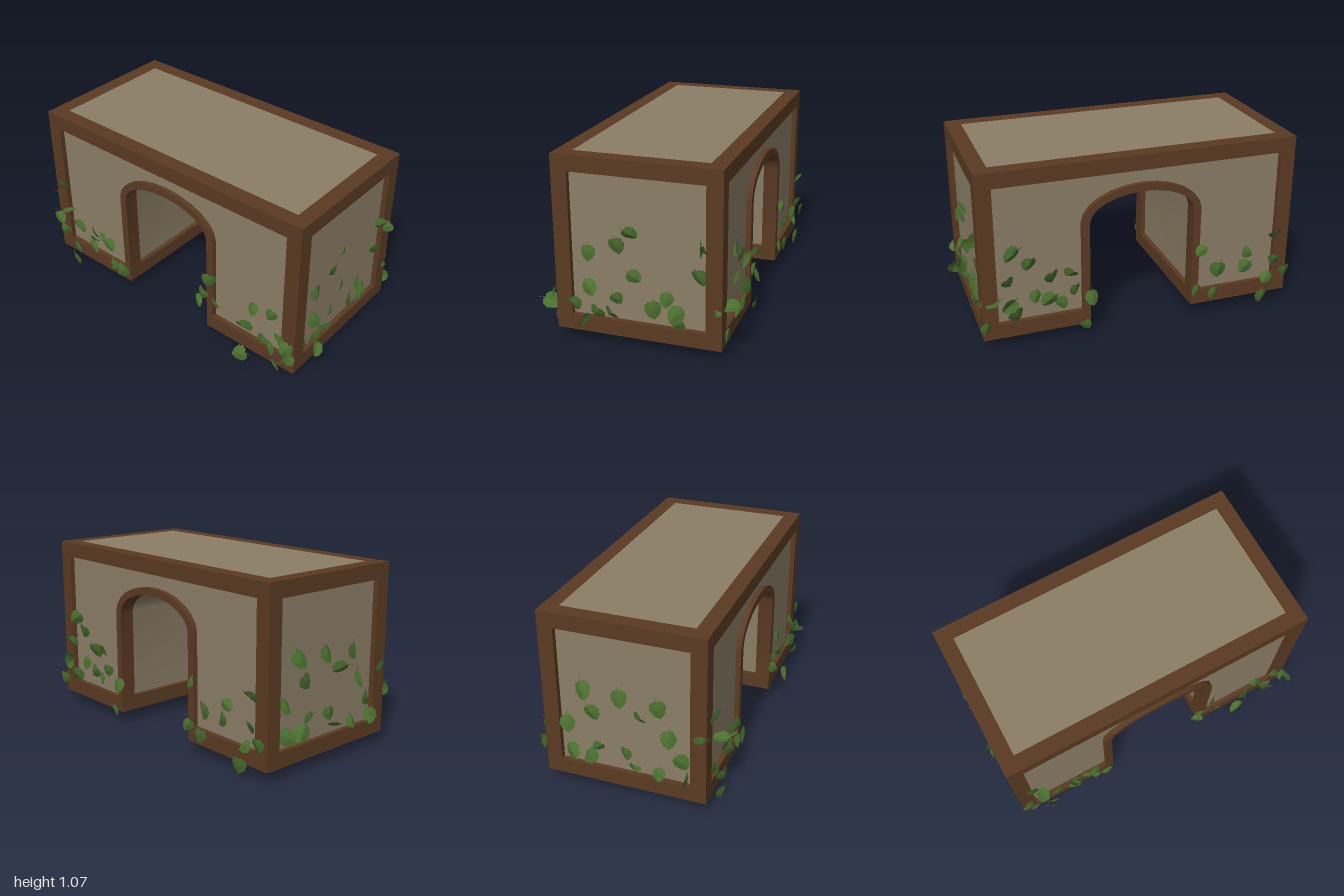
import * as THREE from 'three';
import { mergeGeometries, toCreasedNormals } from 'three/addons/utils/BufferGeometryUtils.js';

const HW = 0.9375, HD = 0.4675, Y0 = 0.065, Y1 = 1.06; // block half width, half depth, bottom, top
const B = 0.09, R = 0.03;                              // beam size, panel recess
const OPEN = 0.3125, SPRING = 0.69, RISE = 0.155;      // archway

const wood = new THREE.MeshStandardMaterial({ color: 0x5a3a22 });
wood.name = 'brown wood';
const plaster = new THREE.MeshStandardMaterial({ color: 0x8b7e66 });
plaster.name = 'tan plaster';
const green = new THREE.MeshStandardMaterial({ color: 0x4a6f2e, side: THREE.DoubleSide });
green.name = 'ivy green';

// archway outline, grown outward by g, starting at height y
function archPoints(g, y) {
  const pts = [new THREE.Vector2(OPEN + g, y)];
  for (let i = 0; i <= 12; i++) {
    const a = (i / 12) * Math.PI;
    pts.push(new THREE.Vector2(Math.cos(a) * (OPEN + g), SPRING + Math.sin(a) * (RISE + g)));
  }
  pts.push(new THREE.Vector2(-OPEN - g, y));
  return pts;
}

function extrude(points, depth, z) {
  const geo = new THREE.ExtrudeGeometry(new THREE.Shape(points), { depth, bevelEnabled: false });
  geo.translate(0, 0, z);
  return toCreasedNormals(geo, 0.55);
}

function add(parent, name, geo, mat, x = 0, y = 0, z = 0) {
  const mesh = new THREE.Mesh(geo, mat);
  mesh.name = name;
  mesh.position.set(x, y, z);
  parent.add(mesh);
  return mesh;
}

const box = (w, h, d) => new THREE.BoxGeometry(w, h, d);

// small seeded random
let seed = 7;
const rand = () => (seed = (seed * 16807) % 2147483647) / 2147483647;

// one folded ivy leaf with a short stem, facing +z
function leafGeometry() {
  const half = [[0, -0.05], [0.026, -0.033], [0.041, 0], [0.034, 0.028], [0.014, 0.042], [0, 0.036]];
  const pos = [];
  for (const s of [1, -1]) {
    for (let i = 0; i < half.length - 1; i++) {
      const p = half[i], q = half[i + 1];
      const a = [p[0] * s, p[1], -Math.abs(p[0]) * 0.3];
      const b = [q[0] * s, q[1], -Math.abs(q[0]) * 0.3];
      pos.push(0, 0, 0.006, ...(s > 0 ? [...a, ...b] : [...b, ...a]));
    }
  }
  pos.push(-0.003, 0.034, 0, 0.003, 0.034, 0, 0.012, 0.07, 0.008);
  const geo = new THREE.BufferGeometry();
  geo.setAttribute('position', new THREE.Float32BufferAttribute(pos, 3));
  geo.computeVertexNormals();
  return geo;
}

// leaf positions: [along the wall, height]
const FRONT = [[-0.88, 0.58], [-0.93, 0.31], [-0.88, 0.24], [-0.78, 0.15], [-0.8, 0.05], [-0.74, 0.33],
  [-0.61, 0.28], [-0.63, 0.22], [-0.6, 0.34], [-0.54, 0.33], [-0.48, 0.3], [-0.46, 0.16], [-0.38, 0.15],
  [-0.82, 0.41], [0.33, 0.45], [0.28, 0.33], [0.38, 0.31], [0.25, 0.26], [0.65, 0.42], [0.6, 0.27],
  [0.72, 0.24], [0.82, 0.28], [0.88, 0.26], [0.57, 0.04], [0.81, 0.1], [0.78, 0.45], [0.76, 0.2], [0.9, 0.21]];
const BACK = [[0.74, 0.59], [0.77, 0.43], [0.9, 0.16], [0.65, 0.52], [0.62, 0.32], [0.52, 0.42], [0.42, 0.43],
  [0.39, 0.32], [0.29, 0.25], [0.33, 0.08], [0.47, 0.25], [0.54, 0.28], [0.73, 0.22], [0.85, 0.3],
  [-0.38, 0.43], [-0.36, 0.17], [-0.49, 0.29], [-0.47, 0.14], [-0.68, 0.37], [-0.66, 0.29], [-0.86, 0.46],
  [-0.86, 0.3], [-0.82, 0.18], [-0.79, 0.07], [-0.93, 0.22]];
const LEFT = [[0.28, 0.53], [0.115, 0.59], [0.04, 0.665], [0.02, 0.425], [0.28, 0.33], [0.12, 0.285],
  [0.16, 0.19], [0.37, 0.22], [-0.085, 0.25], [-0.16, 0.32], [-0.21, 0.24], [-0.34, 0.47], [-0.43, 0.3],
  [-0.35, 0.635], [0.24, 0.185], [-0.22, 0.185]];
const RIGHT = [[-0.33, 0.4], [-0.23, 0.63], [-0.18, 0.5], [-0.15, 0.29], [0.01, 0.28], [-0.02, 0.62],
  [0.09, 0.52], [0.2, 0.6], [0.26, 0.43], [0.33, 0.3], [0.44, 0.45], [-0.31, 0.22], [-0.2, 0.22],
  [0.06, 0.2], [0.2, 0.19]];

function ivy(parent, name, spots, place, yaw) {
  const leaf = leafGeometry();
  const geos = spots.map(([u, y, w], i) => {
    const o = new THREE.Object3D();
    o.position.set(...place(u, y, w));
    o.rotation.set((rand() - 0.5) * 0.9, yaw + (rand() - 0.5) * 0.9, (rand() - 0.5) * 2, 'YXZ');
    if (i % 7 === 6) o.rotateX(1.1); // a few leaves seen edge-on
    o.scale.setScalar(0.8 + rand() * 0.4);
    o.updateMatrix();
    return leaf.clone().applyMatrix4(o.matrix);
  });
  add(parent, name, mergeGeometries(geos), green);
}

export function createModel() {
  seed = 7;
  const root = new THREE.Group();
  root.name = 'ivyArchway';
  const block = new THREE.Group();
  block.name = 'block';
  block.position.set(-0.0225, 0, 0.0025);
  root.add(block);

  // recessed plaster body with the arched passage
  const w = HW - R, top = Y1 - R, low = Y0 + 0.03;
  const outline = [new THREE.Vector2(w, low), new THREE.Vector2(w, top), new THREE.Vector2(-w, top),
    new THREE.Vector2(-w, low), ...archPoints(R, low).reverse()];
  add(block, 'plasterBody', extrude(outline, 2 * (HD - R), -(HD - R)), plaster);
  add(block, 'roofPanel', box(2 * (HW - B), B, 2 * (HD - B)), plaster, 0, Y1 - B / 2, 0);

  // beams, corner posts and leg bases
  const postH = Y1 - Y0 - 2 * B, legW = HW - OPEN;
  for (const s of [1, -1]) {
    add(block, 'longTopBeam', box(2 * HW, B, B), wood, 0, Y1 - B / 2, s * (HD - B / 2));
    add(block, 'shortTopBeam', box(B, B, 2 * (HD - B)), wood, s * (HW - B / 2), Y1 - B / 2, 0);
    add(block, 'legBase', box(legW, B, 2 * HD), wood, s * (OPEN + legW / 2), Y0 + B / 2, 0);
    for (const t of [1, -1]) {
      add(block, 'cornerPost', box(B, postH, B), wood, s * (HW - B / 2), (Y0 + Y1) / 2, t * (HD - B / 2));
    }
  }

  // arch trim on both faces
  const ring = [...archPoints(0.045, Y0 + B), ...archPoints(0, Y0 + B).reverse()];
  add(block, 'frontArchTrim', extrude(ring, B, HD - B), wood);
  add(block, 'backArchTrim', extrude(ring, B, -HD), wood);

  // ivy leaves on all four walls
  ivy(root, 'frontIvy', FRONT, (u, y) => [u, y, 0.495 + rand() * 0.02], 0);
  ivy(root, 'backIvy', BACK, (u, y) => [u, y, -0.49 - rand() * 0.02], Math.PI);
  ivy(root, 'leftIvy', LEFT, (u, y) => [0.912, y, u], Math.PI / 2);
  ivy(root, 'rightIvy', RIGHT, (u, y) => [-0.957, y, u], -Math.PI / 2);
  const corners = [[0.955, 0.63, -0.36], [0.95, 0.155, 0.3], [-0.965, 0.19, 0.36], [0.77, 0.3, -0.53]];
  ivy(root, 'cornerIvy', corners, (x, y, z) => [x, y, z], 0);
  return root;
}
